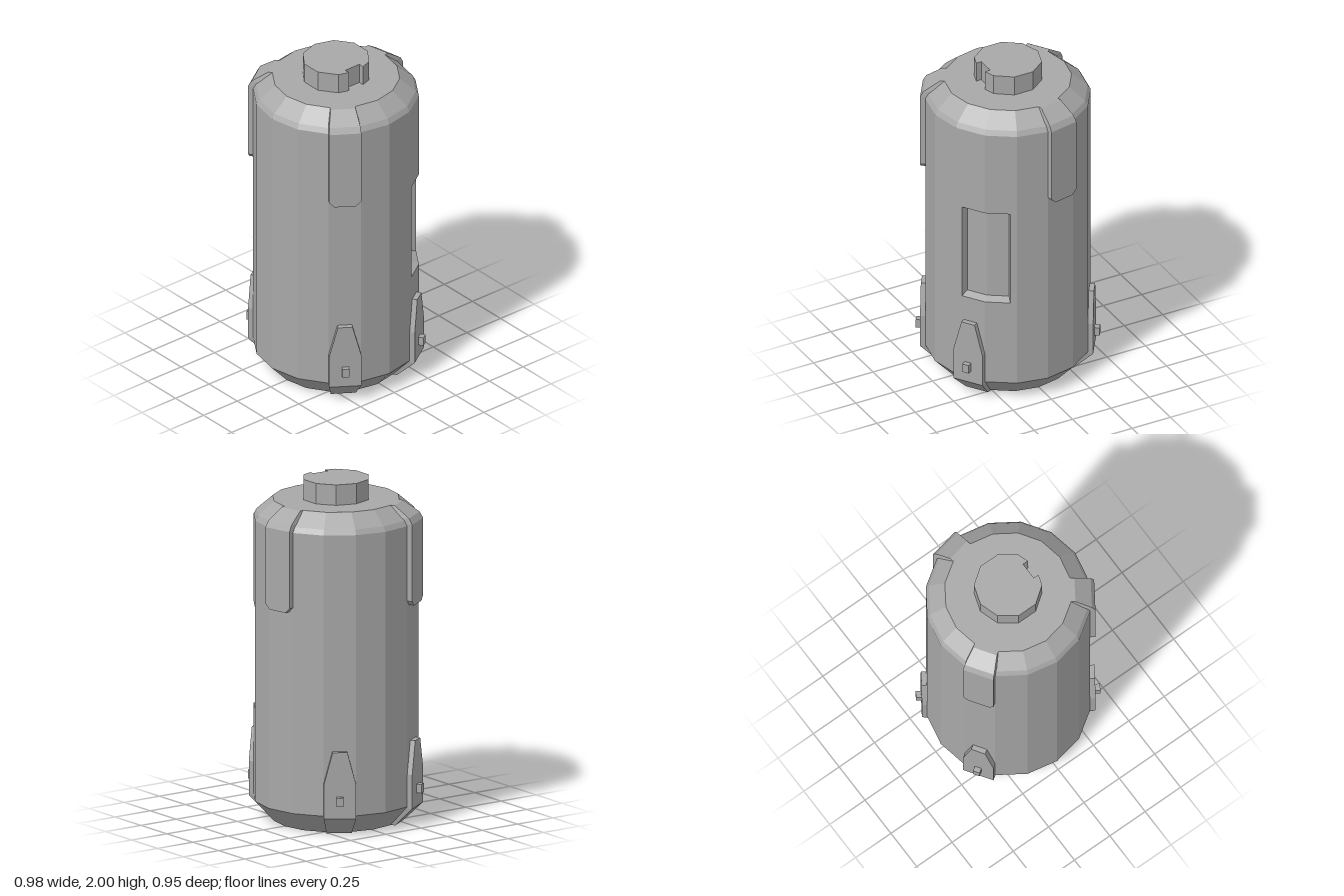
import * as THREE from 'three';

const SIDES = 16, STEP = Math.PI * 2 / SIDES, R = 0.475;
const grey = new THREE.MeshStandardMaterial({ color: 0xa8a8a8 });
grey.name = 'plain grey';

// Flat-faced mesh from quads, corners counter-clockwise from outside
function quadMesh(name, quads) {
  const pos = [];
  for (const [a, b, c, d] of quads) pos.push(...a, ...b, ...c, ...a, ...c, ...d);
  const g = new THREE.BufferGeometry();
  g.setAttribute('position', new THREE.Float32BufferAttribute(pos, 3));
  g.computeVertexNormals();
  const m = new THREE.Mesh(g, grey);
  m.name = name;
  return m;
}

// Raised plate on one facet: rows of [y, inner depth, outer depth, half width], bottom to top
function plate(name, facet, rows) {
  const rings = rows.map(([y, i, o, w]) => [[-w, y, i], [-w, y, o], [w, y, o], [w, y, i]]);
  const quads = [];
  for (let r = 0; r < rings.length - 1; r++) {
    const a = rings[r], b = rings[r + 1];
    for (let k = 0; k < 3; k++) quads.push([a[k], a[k + 1], b[k + 1], b[k]]);
  }
  const lo = rings[0], hi = rings[rings.length - 1];
  quads.push([lo[0], lo[3], lo[2], lo[1]], [hi[1], hi[2], hi[3], hi[0]]);
  const m = quadMesh(name, quads);
  m.rotation.y = Math.PI / 2 - (facet + 0.5) * STEP;
  return m;
}

const ringPoint = (k, r) => [r * Math.cos(k * STEP), r * Math.sin(k * STEP)];
const mix = (a, b, t) => [a[0] + (b[0] - a[0]) * t, a[1] + (b[1] - a[1]) * t];
const at = (p, y) => [p[0], y, p[1]];

// Faceted shell with a recessed window around the ridge between facets 1 and 2
function shell() {
  const profile = [[0.365, 0], [R, 0.12], [R, 1.77], [0.458, 1.8], [0.365, 1.88]];
  const [y0, y1, in0, in1, f] = [0.655, 1.25, 0.675, 1.235, 0.79];
  const quads = [];
  const wall = (left, right, lo, hi) =>
    quads.push([at(left, lo), at(right, lo), at(right, hi), at(left, hi)]);

  for (let i = 0; i < profile.length - 1; i++) {
    const [ra, ya] = profile[i], [rb, yb] = profile[i + 1];
    for (let k = 0; k < SIDES; k++) {
      if (i === 1 && (k === 1 || k === 2)) continue;
      quads.push([at(ringPoint(k + 1, ra), ya), at(ringPoint(k, ra), ya),
        at(ringPoint(k, rb), yb), at(ringPoint(k + 1, rb), yb)]);
    }
  }

  // wall around the opening
  const V = ringPoint(2, R), L = ringPoint(3, R), B = ringPoint(1, R);
  const A0 = mix(V, L, f), B0 = mix(V, B, f);
  wall(L, A0, 0.12, 1.77);
  wall(B0, B, 0.12, 1.77);
  for (const [lo, hi] of [[0.12, y0], [y1, 1.77]]) {
    wall(A0, V, lo, hi);
    wall(V, B0, lo, hi);
  }

  // recess: back faces, side walls, sill and lintel
  const V1 = ringPoint(2, 0.431);
  const A1 = mix(V1, ringPoint(3, 0.431), 0.75), B1 = mix(V1, ringPoint(1, 0.431), 0.75);
  wall(A1, V1, in0, in1);
  wall(V1, B1, in0, in1);
  quads.push([at(A0, y0), at(A1, in0), at(A1, in1), at(A0, y1)]);
  quads.push([at(B1, in0), at(B0, y0), at(B0, y1), at(B1, in1)]);
  for (const [l, r, li, ri] of [[A0, V, A1, V1], [V, B0, V1, B1]]) {
    quads.push([at(l, y0), at(r, y0), at(ri, in0), at(li, in0)]);
    quads.push([at(li, in1), at(ri, in1), at(r, y1), at(l, y1)]);
  }
  return quadMesh('body', quads);
}

function disc(name, y, angle) {
  const m = new THREE.Mesh(new THREE.CircleGeometry(0.365, SIDES), grey);
  m.rotation.x = angle;
  m.position.y = y;
  m.name = name;
  return m;
}

// Ten-sided knob with a notch at the front
function knob() {
  const pts = [];
  for (let k = 0; k < 10; k++) {
    if (k === 5) {
      for (const [x, y] of [[-0.052, -0.178], [-0.052, -0.145], [0.052, -0.145], [0.052, -0.178]])
        pts.push(new THREE.Vector2(x, y));
      continue;
    }
    const a = Math.PI / 2 + k * Math.PI / 5;
    pts.push(new THREE.Vector2(0.195 * Math.cos(a), 0.195 * Math.sin(a)));
  }
  const g = new THREE.ExtrudeGeometry(new THREE.Shape(pts), { depth: 0.12, bevelEnabled: false });
  g.rotateX(-Math.PI / 2);
  const m = new THREE.Mesh(g, grey);
  m.position.y = 1.88;
  m.name = 'topKnob';
  return m;
}

export function createModel() {
  const model = new THREE.Group();
  model.name = 'canister';
  const core = new THREE.Group();
  core.name = 'canisterParts';
  core.position.x = -0.015;
  model.add(core);
  core.add(shell(), disc('bodyTop', 1.88, -Math.PI / 2), disc('bodyBase', 0, Math.PI / 2), knob());

  // three clips hanging from the top rim
  for (const facet of [-1, 5, 10]) {
    core.add(plate('topClip', facet, [
      [1.3, 0.46, 0.496, 0.062], [1.33, 0.46, 0.496, 0.0925], [1.78, 0.455, 0.496, 0.0925],
      [1.815, 0.42, 0.476, 0.089], [1.88, 0.352, 0.382, 0.072]]));
  }

  // four feet wrapping under the base, each with a small peg
  for (const facet of [2, 5, 10, 13]) {
    core.add(plate('foot', facet, [
      [0, 0.352, 0.385, 0.072], [0.11, 0.45, 0.496, 0.0925],
      [0.31, 0.46, 0.496, 0.0925], [0.5, 0.46, 0.496, 0.042]]));
    core.add(plate('footPeg', facet, [[0.188, 0.49, 0.527, 0.02], [0.24, 0.49, 0.527, 0.02]]));
  }
  return model;
}
